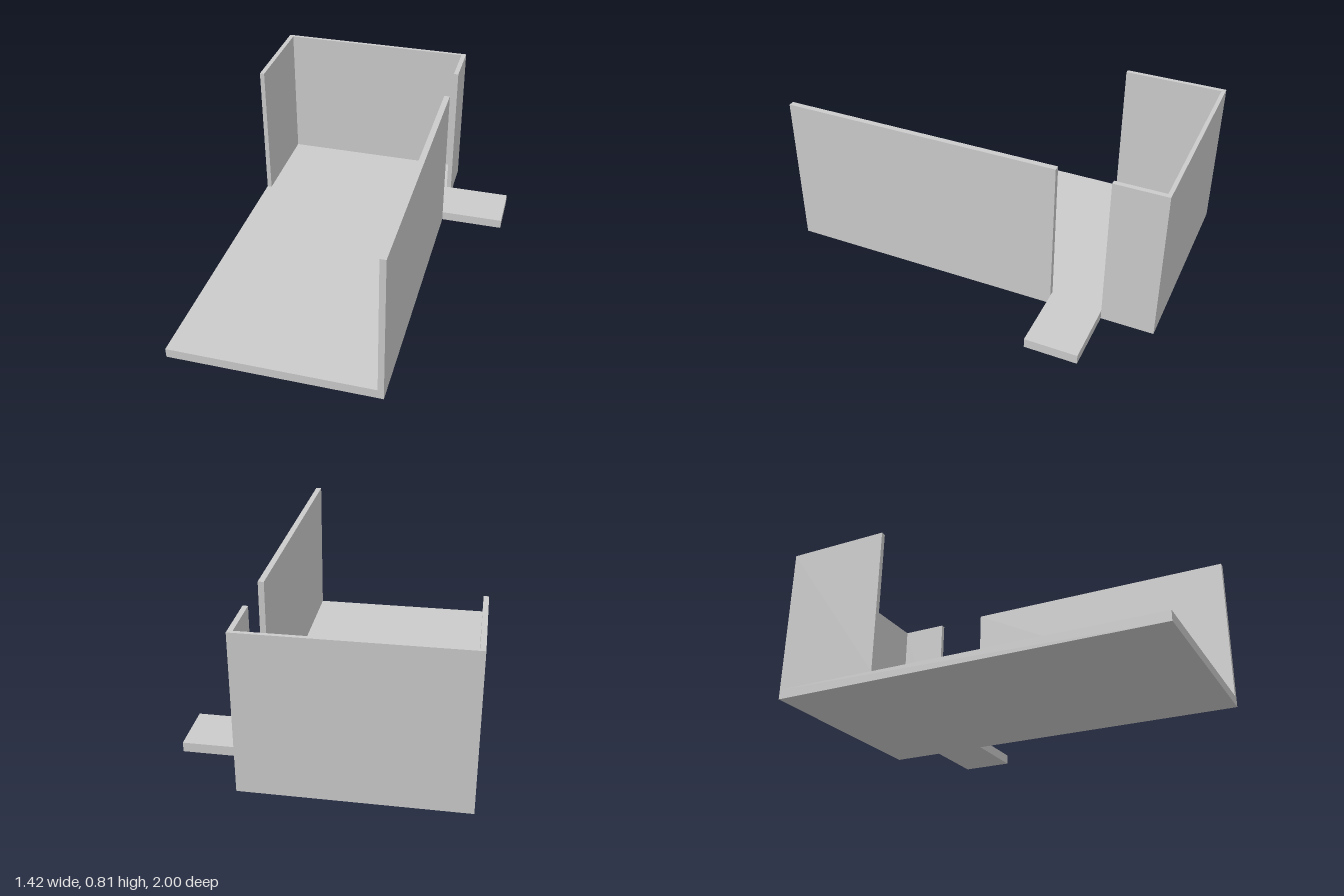
import * as THREE from 'three';

const FLOOR = 0.05, TOP = 0.81;
const LEFT = -0.71, RIGHT = 0.37, TAB = 0.71;
const BACK = -1, FRONT = 1, GAP_BACK = -0.73, GAP_FRONT = -0.46;
const INNER_LEFT = -0.685, INNER_RIGHT = 0.345, INNER_BACK = -0.98;

const material = new THREE.MeshStandardMaterial({ color: 0xcccccc, flatShading: true });

// Raises a plan outline of [x, z] corners from y0 to y1
function slab(name, outline, y0, y1) {
  const shape = new THREE.Shape(outline.map(([x, z]) => new THREE.Vector2(x, -z)));
  const geometry = new THREE.ExtrudeGeometry(shape, { depth: y1 - y0, bevelEnabled: false });
  geometry.rotateX(-Math.PI / 2).translate(0, y0, 0);
  const mesh = new THREE.Mesh(geometry, material);
  mesh.name = name;
  return mesh;
}

export function createModel() {
  const group = new THREE.Group();
  group.name = 'openRoom';

  // Floor with the doorstep projecting through the doorway
  group.add(slab('floorWithDoorstep', [
    [LEFT, FRONT], [RIGHT, FRONT], [RIGHT, GAP_FRONT], [TAB, GAP_FRONT],
    [TAB, GAP_BACK], [RIGHT, GAP_BACK], [RIGHT, BACK], [LEFT, BACK],
  ], 0, FLOOR));

  // Back wall with its two returns
  group.add(slab('backWalls', [
    [LEFT, GAP_FRONT], [INNER_LEFT, GAP_FRONT], [INNER_LEFT, INNER_BACK], [INNER_RIGHT, INNER_BACK],
    [INNER_RIGHT, GAP_BACK], [RIGHT, GAP_BACK], [RIGHT, BACK], [LEFT, BACK],
  ], FLOOR, TOP));

  // Long side wall in front of the doorway
  group.add(slab('longSideWall', [
    [0.34, FRONT], [RIGHT, FRONT], [RIGHT, GAP_FRONT], [0.34, GAP_FRONT],
  ], FLOOR, TOP));

  return group;
}
